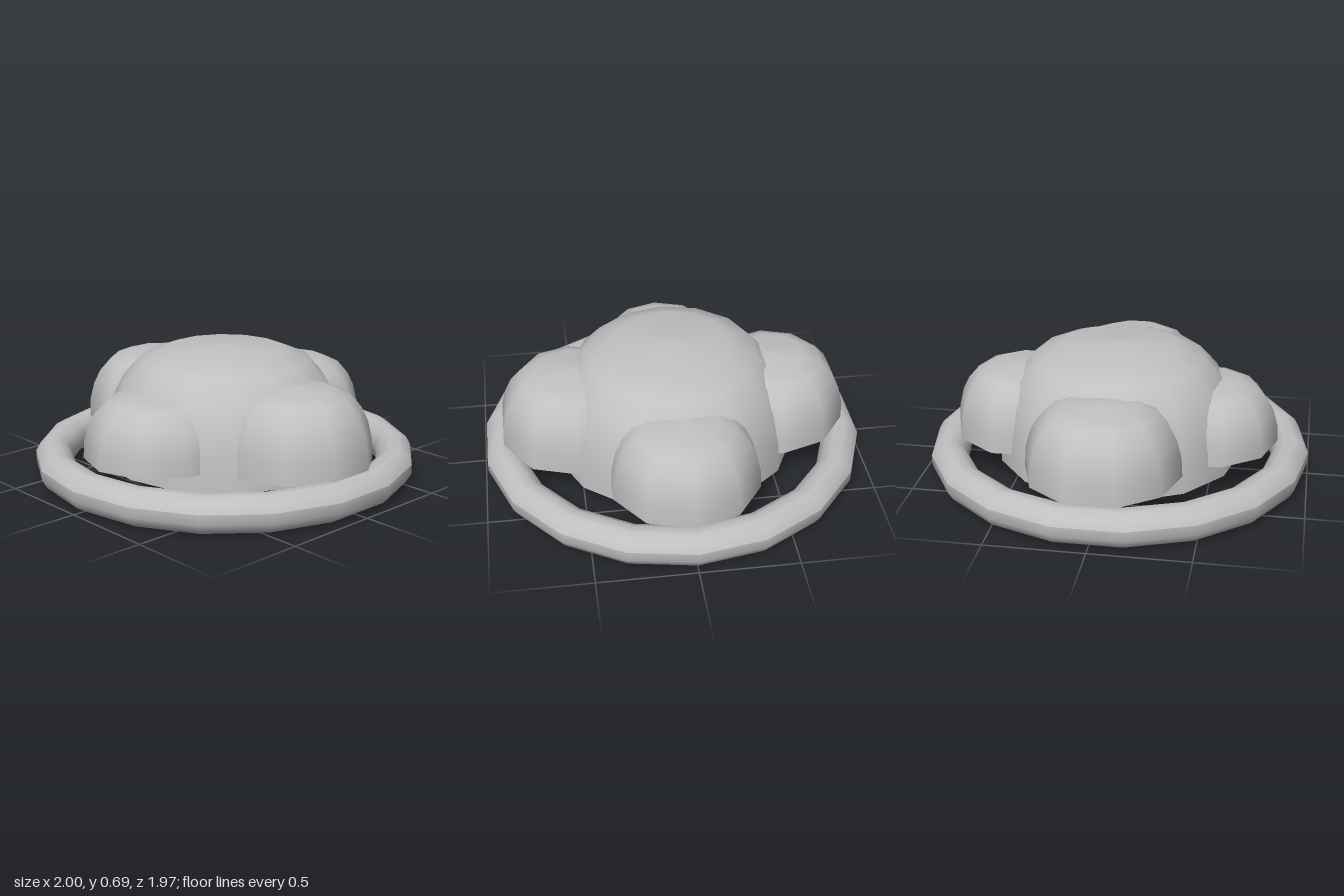
import * as THREE from 'three';
import { mergeGeometries } from 'three/addons/utils/BufferGeometryUtils.js';

const grey = new THREE.MeshStandardMaterial({ color: 0xc0c0c0 });
grey.name = 'plain grey';

// Unit dome with a flat underside and corners along x
function domeGeometry(sides) {
  const points = (list) => list.map(([r, y]) => new THREE.Vector2(r, y));
  const shell = new THREE.LatheGeometry(points(
    [[1, 0], [0.985, 0.27], [0.93, 0.5], [0.84, 0.69], [0.69, 0.87], [0.475, 0.96], [0, 1]]), sides);
  const base = new THREE.LatheGeometry(points([[0, 0], [1, 0]]), sides);
  return mergeGeometries([shell, base]).rotateY(Math.PI / 2);
}

export function createModel() {
  const model = new THREE.Group();
  model.name = 'lobedDome';

  function addDome(name, sides, x, z, radius, bottom, top) {
    const dome = new THREE.Mesh(domeGeometry(sides), grey);
    dome.name = name;
    dome.position.set(x, bottom, z);
    dome.scale.set(radius, top - bottom, radius);
    model.add(dome);
  }

  // Large central dome, reaching down inside the ring
  addDome('centralDome', 14, 0, 0, 0.645, 0.09, 0.69);

  // Four smaller lobes
  addDome('frontLobe', 10, 0, 0.52, 0.395, 0.172, 0.565);
  addDome('backLobe', 10, 0, -0.525, 0.395, 0.195, 0.57);
  addDome('leftLobe', 10, 0.49, 0, 0.39, 0.172, 0.55);
  addDome('rightLobe', 10, -0.452, 0, 0.385, 0.18, 0.515);

  // Surrounding ring: eighteen segments, twelve-sided tube with flat top and sides
  const tube = 0.0965, flat = tube * Math.cos(Math.PI / 12);
  const section = [];
  for (let i = 0; i <= 12; i++) {
    const a = (i + 0.5) / 12 * Math.PI * 2;
    section.push(new THREE.Vector2(1 - flat + tube * Math.cos(a), flat + tube * Math.sin(a)));
  }
  const ring = new THREE.Mesh(new THREE.LatheGeometry(section, 18).rotateY(Math.PI / 2), grey);
  ring.name = 'outerRing';
  model.add(ring);

  return model;
}
